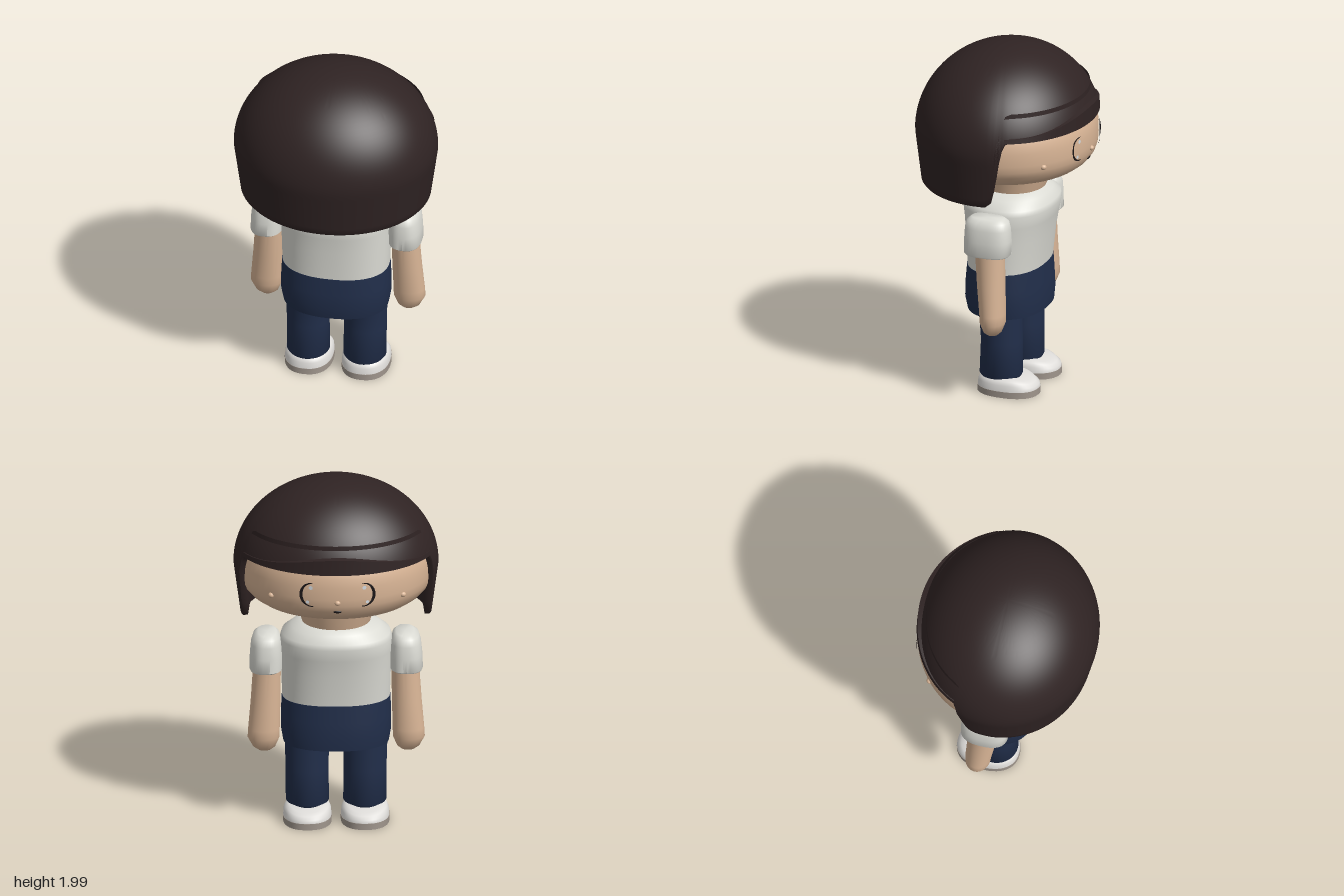
import * as THREE from 'three';
import { toCreasedNormals } from 'three/addons/utils/BufferGeometryUtils.js';

const mat = (name, color, side = THREE.FrontSide) => {
  const m = new THREE.MeshStandardMaterial({ color, side });
  m.name = name;
  return m;
};

// Surface through rows of points; point(i, j) gives [x, y, z], rows run bottom to top
function grid(cols, rows, wrap, point, crease = 0.8) {
  const pos = [], index = [];
  const n = wrap ? cols : cols + 1;
  for (let j = 0; j < rows; j++)
    for (let i = 0; i < n; i++) pos.push(...point(i / cols, j));
  for (let j = 0; j < rows - 1; j++)
    for (let i = 0; i < cols; i++) {
      const a = j * n + i, b = j * n + (i + 1) % n;
      index.push(a, a + n, b, b, a + n, b + n);
    }
  const g = new THREE.BufferGeometry();
  g.setAttribute('position', new THREE.Float32BufferAttribute(pos, 3));
  g.setIndex(index);
  return toCreasedNormals(g, crease);
}

// Capped loft through rounded rings [y, rx, rz, cx, cz]; power 2 is an ellipse
function loft(rings, power = 2, crease = 0.8, cols = 48) {
  const first = rings[0], last = rings[rings.length - 1];
  const cap = ([y, , , cx = 0, cz = 0]) => [y, 0, 0, cx, cz];
  const all = [cap(first), ...rings, cap(last)];
  const bend = (v) => Math.sign(v) * Math.abs(v) ** (2 / power);
  return grid(cols, all.length, true, (u, j) => {
    const [y, rx, rz, cx = 0, cz = 0] = all[j];
    const a = u * Math.PI * 2;
    return [cx + rx * bend(Math.cos(a)), y, cz + rz * bend(Math.sin(a))];
  }, crease);
}

const HX = 0.565, HZ = 0.505, TOP = 1.985;

// Hair width factor at a height
const hairWidth = (y) => y > 1.5
  ? Math.sqrt(Math.max(0, 1 - ((y - 1.5) / (TOP - 1.5)) ** 2))
  : THREE.MathUtils.lerp(0.93, 1, (y - 1.205) / 0.295);

// Height of the hair's lower edge, by depth: long at back and sides, cut above the face
const HEM = [[-0.07, 1.205], [-0.105, 1.23], [-0.13, 1.32], [-0.16, 1.5], [-0.18, 1.585], [-0.22, 1.6]];
function hem(z) {
  if (z >= HEM[0][0]) return HEM[0][1];
  for (let k = 1; k < HEM.length; k++) {
    const [z0, y0] = HEM[k - 1], [z1, y1] = HEM[k];
    if (z >= z1) return y0 + (y1 - y0) * (z - z0) / (z1 - z0);
  }
  return 1.6;
}

function hairGeometry() {
  const rows = 36;
  return grid(180, rows + 3, true, (u, j) => {
    const a = u * Math.PI * 2, h = hem(HZ * Math.sin(a)), w = hairWidth(h);
    let y, f;
    if (j === 0) { y = h + 0.15; f = w - 0.1; }
    else if (j === 1) { y = h; f = w - 0.06; }
    else if (j === 2) { y = h; f = w - 0.015; }
    else {
      const t = (j - 3) / (rows - 1);
      y = h + 0.012 + (TOP - h - 0.012) * Math.sin(t * Math.PI / 2);
      f = j === rows + 2 ? 0 : hairWidth(y);
    }
    return [HX * f * Math.cos(a), y, HZ * f * Math.sin(a)];
  }, 0.9);
}

function fringeGeometry() {
  return grid(64, 4, false, (u, j) => {
    const a = Math.PI + 0.37 + u * (Math.PI - 0.74);
    const top = 1.62 + 0.065 * Math.abs(Math.sin(a)) ** 5;
    const [y, f] = [[1.597, 0.88], [1.597, 0.984], [top, 0.976], [top + 0.012, 0.86]][j];
    return [HX * f * Math.cos(a), y, HZ * f * Math.sin(a)];
  });
}

// Lay a flat shape onto the front of the face
function onFace(shape, lift) {
  const g = new THREE.ShapeGeometry(shape, 12), p = g.attributes.position;
  for (let i = 0; i < p.count; i++) {
    const face = 0.493 * Math.sqrt(1 - (p.getX(i) / 0.53) ** 2);
    p.setZ(i, -Math.max(face + lift, 0.46 + lift));
  }
  g.computeVertexNormals();
  return g;
}

export function createModel() {
  const model = new THREE.Group();
  const hair = mat('dark brown hair', 0x2f2323, THREE.DoubleSide);
  const skin = mat('skin', 0xd9b596);
  const shirt = mat('off-white shirt', 0xdcdcd5);
  const navy = mat('navy trousers', 0x212e4a);
  const shoe = mat('white shoe', 0xe0dedb);
  const sole = mat('grey sole', 0xa0968d);
  const ink = mat('eye black', 0x1a1516, THREE.DoubleSide);
  const glint = mat('eye highlight', 0xd5dde4, THREE.DoubleSide);

  const add = (name, geometry, material, x = 0, y = 0, z = 0) => {
    const m = new THREE.Mesh(geometry, material);
    m.name = name;
    m.position.set(x, y, z);
    model.add(m);
    return m;
  };

  // Head and hair
  add('hair', hairGeometry(), hair);
  add('fringe', fringeGeometry(), hair);
  add('head', loft([
    [1.24, 0.21, 0.21], [1.275, 0.32, 0.31], [1.31, 0.43, 0.41], [1.34, 0.475, 0.45],
    [1.375, 0.507, 0.476], [1.41, 0.524, 0.488], [1.45, 0.53, 0.493], [1.52, 0.53, 0.492],
    [1.57, 0.523, 0.486], [1.62, 0.505, 0.468], [1.75, 0.42, 0.39], [1.88, 0.24, 0.22],
  ], 2, 1, 72), skin);
  add('neck', loft([[1.13, 0.18, 0.17, 0, -0.03], [1.19, 0.195, 0.185, 0, -0.035], [1.28, 0.22, 0.205, 0, -0.04]]), skin);

  // Face
  const bump = new THREE.SphereGeometry(1, 16, 12);
  add('nose', bump, skin, 0, 1.435, -0.493).scale.set(0.016, 0.014, 0.014);
  add('mouth', bump, ink, 0, 1.378, -0.474).scale.set(0.024, 0.009, 0.008);

  for (const s of [-1, 1]) {
    const side = s > 0 ? 'left' : 'right';

    add(side + 'Cheek', bump, skin, s * 0.362, 1.432, -0.352).scale.set(0.018, 0.016, 0.018);

    // Crescent eye opening towards the nose, with two highlights
    const crescent = new THREE.Shape();
    for (let k = 0; k <= 32; k++) {
      const back = k > 16;
      const a = (back ? 24 - k : k - 8) / 8 * 1.75;
      const x = s * (0.145 + (back ? 0.048 : 0.065) * Math.cos(a)), y = 1.48 + (back ? 0.064 : 0.07) * Math.sin(a);
      if (k) crescent.lineTo(x, y); else crescent.moveTo(x, y);
    }
    add(side + 'Eye', onFace(crescent, 0.005), ink);
    for (const [x, y, r] of [[0.148, 1.522, 0.011], [0.165, 1.437, 0.009]]) {
      const dot = new THREE.Shape().absarc(s * x, y, r, 0, Math.PI * 2);
      add(side + 'EyeHighlight', onFace(dot, 0.008), glint);
    }

    // Sleeve and arm
    add(side + 'Sleeve', loft([
      [0.885, 0.085, 0.125, s * 0.39, -0.033], [0.892, 0.091, 0.132, s * 0.387, -0.033],
      [0.97, 0.09, 0.132, s * 0.385, -0.033], [1.04, 0.083, 0.128, s * 0.385, -0.033],
      [1.08, 0.072, 0.118, s * 0.383, -0.033], [1.098, 0.05, 0.095, s * 0.38, -0.033],
    ], 2.6), shirt);
    add(side + 'Arm', loft([
      [0.415, 0.035, 0.03, s * 0.395, -0.065], [0.435, 0.062, 0.05, s * 0.397, -0.066],
      [0.49, 0.088, 0.07, s * 0.4, -0.068], [0.54, 0.087, 0.072, s * 0.398, -0.066],
      [0.7, 0.082, 0.078, s * 0.389, -0.054], [0.92, 0.076, 0.084, s * 0.38, -0.042],
    ], 2, 1), skin);

    // Leg
    add(side + 'Leg', loft([
      [0.09, 0.108, 0.112, s * 0.158, -0.022], [0.105, 0.119, 0.12, s * 0.158, -0.022],
      [0.3, 0.118, 0.115, s * 0.16, -0.026], [0.4, 0.121, 0.118, s * 0.16, -0.022],
      [0.5, 0.125, 0.125, s * 0.16, -0.016],
    ]), navy);

    // Shoe: low toe, higher heel
    add(side + 'Sole', loft([[0, 0.134, 0.176, s * 0.159, -0.068], [0.036, 0.135, 0.176, s * 0.159, -0.068]], 2.3), sole);
    const upper = loft([
      [0.036, 0.133, 0.174, s * 0.159, -0.068], [0.07, 0.13, 0.17, s * 0.159, -0.068],
      [0.09, 0.12, 0.155, s * 0.159, -0.062], [0.1, 0.105, 0.135, s * 0.159, -0.055],
    ], 2.3);
    const p = upper.attributes.position;
    for (let i = 0; i < p.count; i++) {
      const toe = Math.max(0, -0.13 - p.getZ(i));
      p.setY(i, p.getY(i) - toe * 0.3 * (p.getY(i) - 0.036) / 0.064);
    }
    add(side + 'Shoe', upper, shoe);
  }

  // Body
  add('shirt', loft([
    [0.72, 0.297, 0.214, 0, -0.012], [0.9, 0.303, 0.229, 0, -0.018], [1.0, 0.306, 0.243, 0, -0.023],
    [1.07, 0.308, 0.255, 0, -0.026], [1.1, 0.298, 0.248, 0, -0.028], [1.14, 0.245, 0.213, 0, -0.028],
    [1.168, 0.195, 0.185, 0, -0.028],
  ], 2.3, 0.9, 64), shirt);
  add('trousers', loft([
    [0.46, 0.292, 0.218, 0, -0.016], [0.53, 0.304, 0.228, 0, -0.012], [0.62, 0.304, 0.224, 0, -0.011],
    [0.722, 0.299, 0.216, 0, -0.012],
  ], 2.3, 0.9, 64), navy);

  return model;
}
